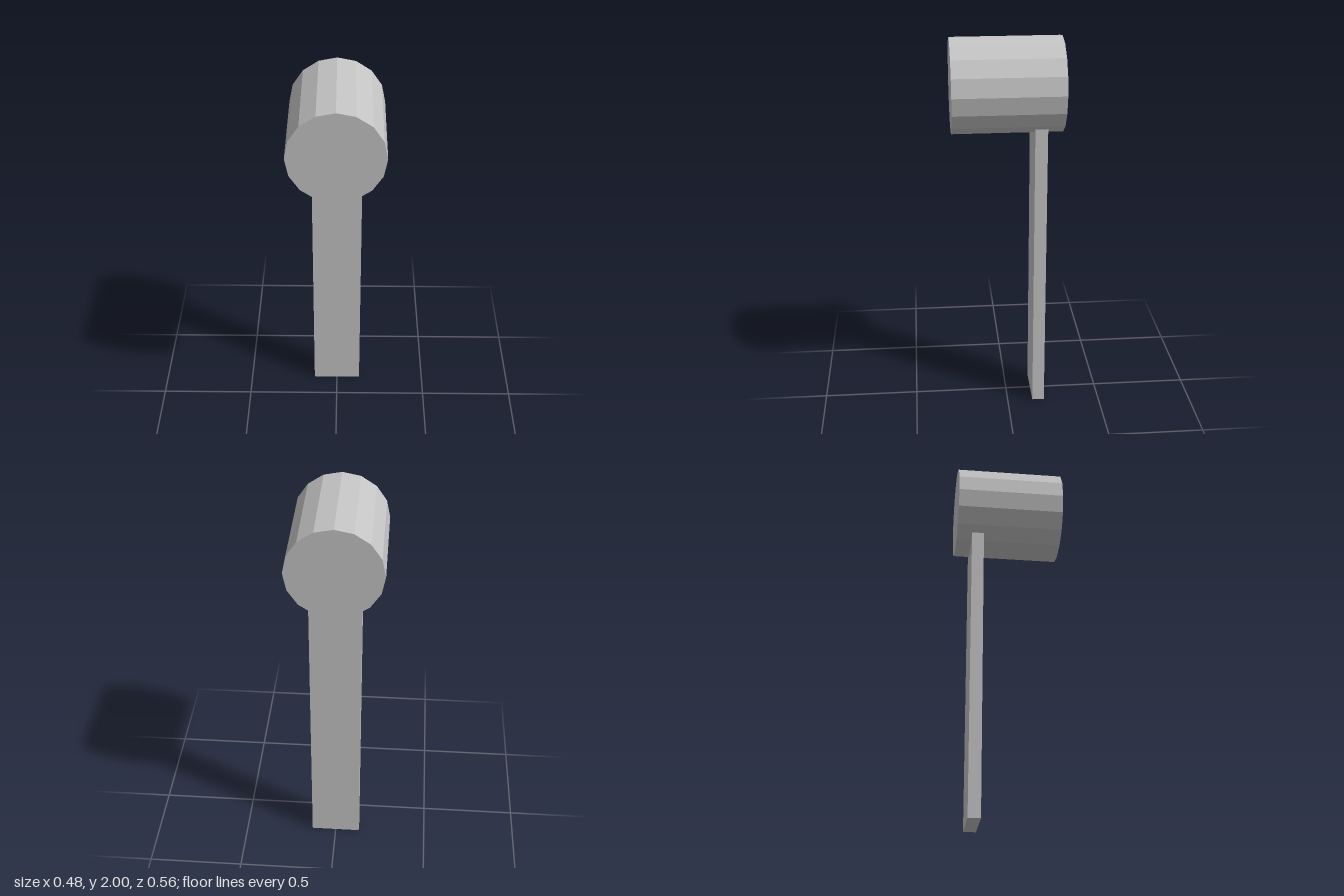
import * as THREE from 'three';

export function createModel() {
  const group = new THREE.Group();
  const grey = new THREE.MeshStandardMaterial({ color: 0xc4c4c4, flatShading: true });
  grey.name = 'plain grey';

  // Sixteen-sided drum lying along z, with a corner at the very top
  const radius = 0.241;
  const drum = new THREE.Mesh(new THREE.CylinderGeometry(radius, radius, 0.56, 16), grey);
  drum.name = 'drumHead';
  drum.rotation.x = Math.PI / 2;
  drum.position.y = 2 - radius;
  group.add(drum);

  // Flat upright post near the back, its top sunk into the drum
  const postHeight = 1.62;
  const post = new THREE.Mesh(new THREE.BoxGeometry(0.262, postHeight, 0.064), grey);
  post.name = 'post';
  post.position.set(0, postHeight / 2, -0.168);
  group.add(post);

  return group;
}
